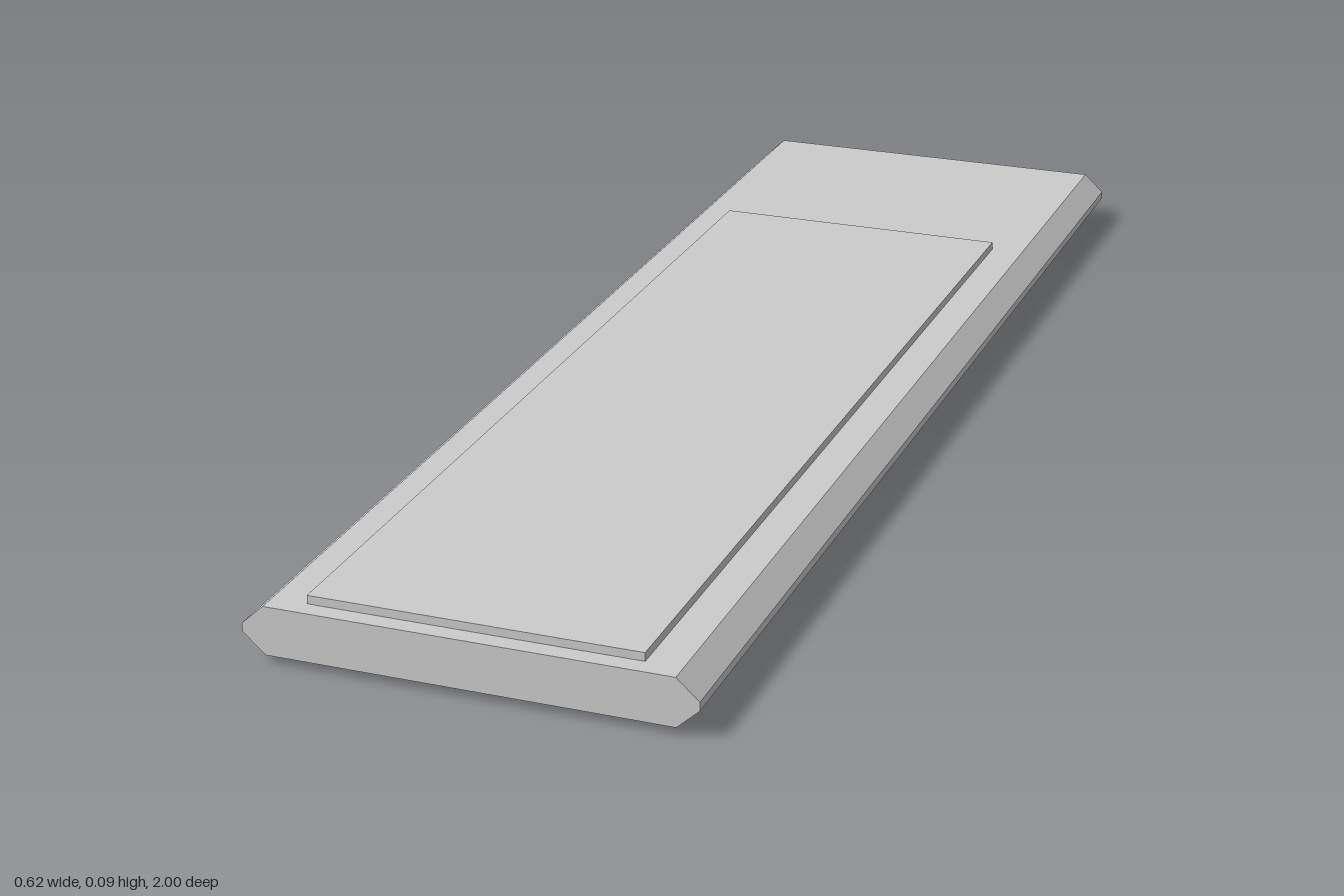
import * as THREE from 'three';

export function createModel() {
  const model = new THREE.Group();
  const material = new THREE.MeshStandardMaterial({ color: 0xcccccc, flatShading: true });
  const midY = 0.0465;
  const halfThickness = 0.0345;
  const panelHeight = 0.012;

  // Long slab with chamfered side edges, extruded along z
  const right = [[0.28, -halfThickness], [0.311, -0.006], [0.311, 0.006], [0.28, halfThickness]];
  const left = right.map(([x, y]) => [-x, -y]);
  const section = new THREE.Shape([...right, ...left].map(([x, y]) => new THREE.Vector2(x, y)));
  const slabGeometry = new THREE.ExtrudeGeometry(section, { depth: 2, bevelEnabled: false });
  slabGeometry.translate(0, midY, -1);
  const slab = new THREE.Mesh(slabGeometry, material);
  slab.name = 'slab';
  model.add(slab);

  // Thin raised panels on the top and underside, set towards the front
  const zBack = -0.578, zFront = 0.974;
  for (const [name, side] of [['topPanel', 1], ['bottomPanel', -1]]) {
    const panel = new THREE.Mesh(new THREE.BoxGeometry(0.46, panelHeight, zFront - zBack), material);
    panel.position.set(0, midY + side * (halfThickness + panelHeight / 2), (zFront + zBack) / 2);
    panel.name = name;
    model.add(panel);
  }

  return model;
}
